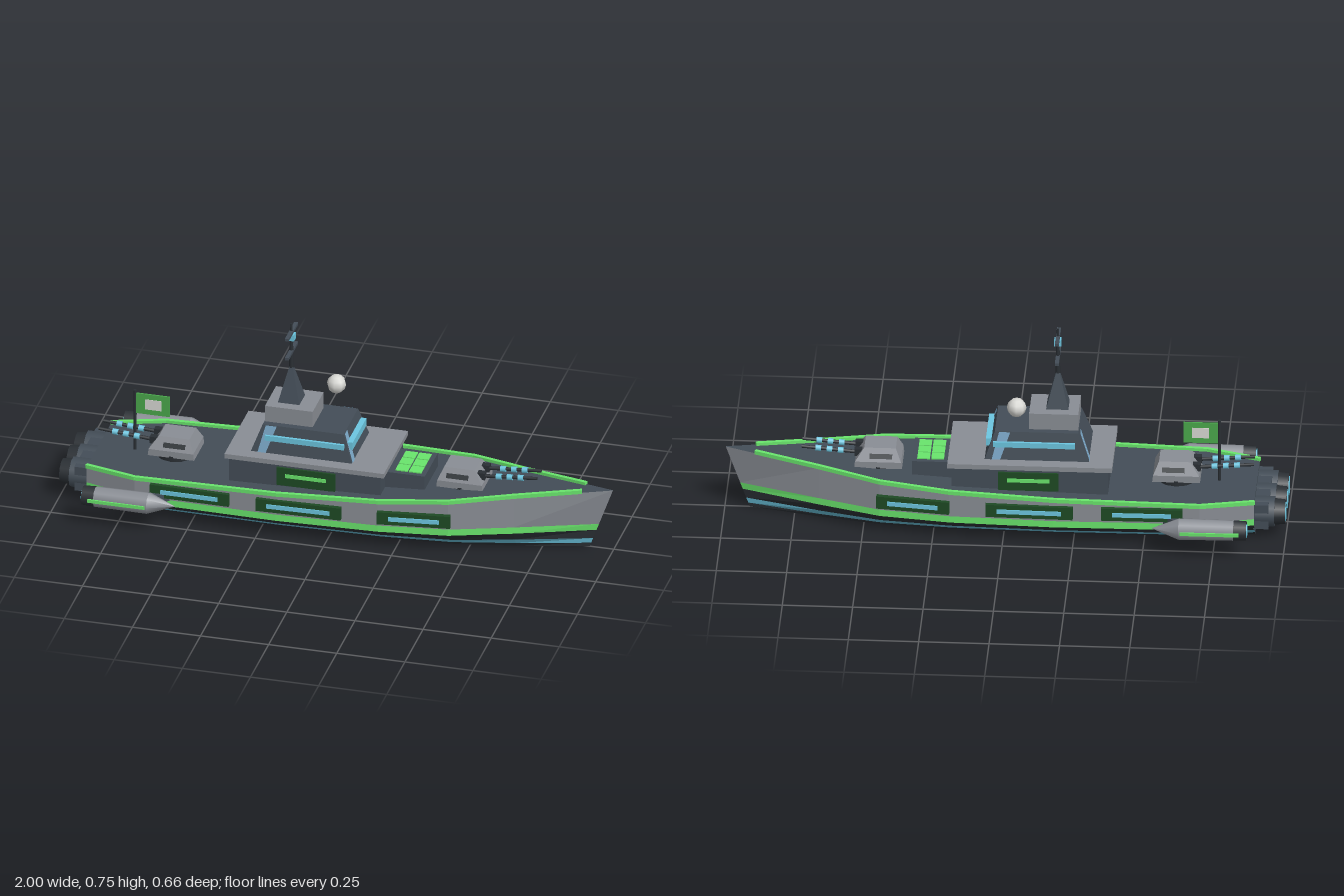
import * as THREE from 'three';

const mat = (name, color) => Object.assign(new THREE.MeshStandardMaterial({ color, side: THREE.DoubleSide }), { name });

export function createModel() {
  const root = new THREE.Group();
  root.name = 'patrolShip';
  const M = {
    grey: mat('hullGrey', 0x898d94),
    slate: mat('deckSlate', 0x434d57),
    dark: mat('darkSteel', 0x2a2f34),
    green: mat('flagGreen', 0x4aa84c),
    bright: mat('brightGreen', 0x69e46c),
    forest: mat('forestGreen', 0x1e4a24),
    teal: mat('glassTeal', 0x6cc6e0),
    water: mat('waterlineTeal', 0x62b4cc),
    pale: mat('paleBlue', 0x7aa6c6),
    white: mat('offWhite', 0xd8d8d4),
  };

  const add = (name, geo, m, x = 0, y = 0, z = 0, parent = root) => {
    const mesh = new THREE.Mesh(geo, m);
    mesh.name = name;
    mesh.position.set(x, y, z);
    parent.add(mesh);
    return mesh;
  };
  // Box given by its limits, with an optional smaller top
  const block = (name, m, [x0, x1, hz], [y0, y1], [t0, t1, tz] = [x0, x1, hz], parent = root) => {
    const g = new THREE.BoxGeometry(1, 1, 1), p = g.attributes.position;
    for (let i = 0; i < p.count; i++) {
      const up = p.getY(i) > 0, right = p.getX(i) > 0;
      p.setXYZ(i, up ? (right ? t1 : t0) : (right ? x1 : x0), up ? y1 : y0, Math.sign(p.getZ(i)) * (up ? tz : hz));
    }
    g.computeVertexNormals();
    return add(name, g, m, 0, 0, 0, parent);
  };
  const box = (name, m, sx, sy, sz, x, y, z, parent) => add(name, new THREE.BoxGeometry(sx, sy, sz), m, x, y, z, parent);
  // Cylinder along x; rF is the radius at the +x end
  const rodX = (name, m, x0, x1, rB, rF, y, z, seg = 8, parent = root) => {
    const g = new THREE.CylinderGeometry(rF, rB, x1 - x0, seg).rotateZ(-Math.PI / 2);
    return add(name, g, m, (x0 + x1) / 2, y, z, parent);
  };
  const quads = (name, m, list) => {
    const pos = [];
    for (const [a, b, c, d] of list) pos.push(...a, ...b, ...c, ...a, ...c, ...d);
    const g = new THREE.BufferGeometry();
    g.setAttribute('position', new THREE.Float32BufferAttribute(pos, 3));
    g.computeVertexNormals();
    return add(name, g, m);
  };

  // Hull stations: x, half beam, deck height; the hull is an open shell below
  const S = [[-0.89, 0.17, 0.155], [-0.7, 0.222, 0.16], [-0.18, 0.23, 0.172], [0.19, 0.215, 0.185],
    [0.44, 0.18, 0.2], [0.66, 0.105, 0.215], [0.997, 0.001, 0.237]];
  const last = S.length - 1;
  const levels = [0, 0.015, 0.035, 0.07, 0.095, null];
  const pt = (i, l, s) => {
    const [x, w, top] = S[i], y = levels[l] ?? top;
    const rake = i === last ? (y - top) * 0.36 : 0;
    return [x + rake, y, s * w * (0.6 + 0.4 * Math.min(1, y / 0.07))];
  };
  [['keelBand', M.dark], ['waterlineStripe', M.water], ['lowerHull', M.dark], ['greenBelt', M.bright], ['hullSides', M.grey]]
    .forEach(([name, m], l) => {
      const list = [];
      for (let i = 0; i < last; i++) {
        const q = s => [pt(i, l, s), pt(i + 1, l, s), pt(i + 1, l + 1, s), pt(i, l + 1, s)];
        list.push(q(1), q(-1).reverse());
      }
      list.push([pt(last, l, 1), pt(last, l, -1), pt(last, l + 1, -1), pt(last, l + 1, 1)]);
      quads(name, m, list);
    });
  quads('deck', M.slate, S.slice(0, last).map((_, i) => [pt(i, 5, 1), pt(i + 1, 5, 1), pt(i + 1, 5, -1), pt(i, 5, -1)]));
  quads('transom', M.slate, [0, 1, 2, 3, 4].map(l => [pt(0, l, -1), pt(0, l, 1), pt(0, l + 1, 1), pt(0, l + 1, -1)]));

  // Deck edge rails
  for (const s of [1, -1]) for (let i = 0; i < last; i++) {
    const a = new THREE.Vector3(...pt(i, 5, s)), b = new THREE.Vector3(...pt(i + 1, 5, s));
    if (i === last - 1) b.lerpVectors(a, b, 0.68);
    for (const v of [a, b]) v.add(new THREE.Vector3(0, 0.004, -s * 0.004));
    const r = box('deckRail', M.bright, 0.014, 0.014, a.distanceTo(b) + 0.004, 0, 0, 0);
    r.position.lerpVectors(a, b, 0.5);
    r.lookAt(b);
  }

  // Window panels along the hull sides: x and z of both ends
  for (const s of [1, -1]) for (const [x0, z0, x1, z1] of [[-0.64, 0.228, -0.35, 0.231], [-0.25, 0.234, 0.06, 0.227], [0.19, 0.22, 0.45, 0.187]]) {
    const len = Math.hypot(x1 - x0, z1 - z0);
    const g = new THREE.Group();
    g.name = 'sidePanel';
    g.position.set((x0 + x1) / 2, 0.132, s * (z0 + z1) / 2);
    g.rotation.y = -s * Math.atan2(z1 - z0, x1 - x0);
    root.add(g);
    box('panelFrame', M.forest, len, 0.048, 0.02, 0, 0, 0, g);
    box('panelLight', M.teal, len - 0.08, 0.016, 0.008, 0, 0, s * 0.01, g);
  }

  // Stern engines
  block('engineHousing', M.slate, [-0.94, -0.885, 0.15], [0.045, 0.14]);
  for (const z of [-0.1, 0, 0.1]) {
    rodX('engine', M.slate, -0.96, -0.885, 0.055, 0.055, 0.092, z, 10);
    rodX('engineNozzle', M.dark, -0.998, -0.96, 0.044, 0.048, 0.092, z, 10);
    rodX('engineGlow', M.teal, -1, -0.997, 0.035, 0.035, 0.092, z, 10);
  }

  // Side pods
  for (const s of [1, -1]) {
    const z = s * 0.289, y = 0.109;
    rodX('podNozzle', M.dark, -0.87, -0.82, 0.036, 0.038, y, z);
    rodX('podGlow', M.teal, -0.873, -0.869, 0.026, 0.026, y, z);
    rodX('podBody', M.grey, -0.825, -0.63, 0.038, 0.04, y, z);
    rodX('podNose', M.grey, -0.63, -0.535, 0.04, 0.001, y, z);
    box('podLight', M.bright, 0.21, 0.012, 0.008, -0.74, y, s * 0.327);
    box('podStrut', M.slate, 0.11, 0.03, 0.035, -0.625, y, s * 0.243).rotation.y = s * 0.6;
  }

  // Superstructure
  block('deckhouse', M.slate, [-0.37, 0.185, 0.155], [0.168, 0.262]);
  block('deckhouseRoof', M.grey, [-0.385, 0.2, 0.166], [0.26, 0.278]);
  block('bridge', M.slate, [-0.3, 0.07, 0.12], [0.278, 0.38], [-0.262, 0.035, 0.1]);
  block('upperBridge', M.grey, [-0.26, -0.085, 0.076], [0.38, 0.442]);
  for (const s of [1, -1]) {
    box('deckhousePanel', M.forest, 0.215, 0.07, 0.016, -0.088, 0.213, s * 0.154);
    box('deckhouseLight', M.bright, 0.15, 0.014, 0.006, -0.088, 0.218, s * 0.162);
    box('bridgeSideWindow', M.teal, 0.29, 0.02, 0.014, -0.105, 0.335, s * 0.11);
  }
  box('bridgeFrontWindow', M.teal, 0.02, 0.029, 0.19, 0.057, 0.334, 0);

  // Pale plates near one corner of each bridge face
  for (const s of [1, -1]) {
    const e = 0.003, cx = -0.115;
    const side = [[-0.275, 0.279, 0.12 + e], [-0.245, 0.279, 0.12 + e], [-0.21, 0.379, 0.1 + e], [-0.25, 0.379, 0.1 + e]];
    const end = [[0.07 + e, 0.279, 0.117], [0.07 + e, 0.279, 0.087], [0.035 + e, 0.379, 0.06], [0.035 + e, 0.379, 0.092]];
    const turn = q => q.map(([x, y, z]) => s > 0 ? [x, y, z] : [2 * cx - x, y, -z]);
    quads('bridgePlate', M.pale, [turn(side), turn(end)]);
  }

  // Mast with yards and lamp
  const mx = -0.183;
  block('mastBase', M.slate, [mx - 0.04, mx + 0.04, 0.04], [0.44, 0.575], [mx - 0.006, mx + 0.006, 0.006]);
  add('mastPole', new THREE.CylinderGeometry(0.004, 0.009, 0.175, 8), M.dark, mx, 0.6575, 0);
  for (const y of [0.635, 0.712]) box('mastYard', M.slate, 0.014, 0.01, 0.13, mx, y, 0);
  box('mastLamp', M.teal, 0.025, 0.025, 0.025, mx, 0.693, 0);
  add('radarDome', new THREE.SphereGeometry(0.035, 8, 6), M.white, -0.042, 0.474, -0.092);

  // Launch cells ahead of the deckhouse
  block('cellBox', M.slate, [0.18, 0.33, 0.09], [0.185, 0.246]);
  for (const x of [0.24, 0.29]) for (const z of [-0.05, 0, 0.05])
    box('launchCell', M.bright, 0.045, 0.006, 0.045, x, 0.247, z);

  // Twin gun turrets with slightly raised barrels
  const turret = (name, x, y, dir) => {
    const g = new THREE.Group();
    g.name = name;
    g.position.set(x, y, 0);
    g.rotation.y = dir > 0 ? 0 : Math.PI;
    root.add(g);
    add('turretRing', new THREE.CylinderGeometry(0.072, 0.072, 0.02, 12), M.dark, 0, 0.005, 0, g);
    block('turretBody', M.grey, [-0.085, 0.085, 0.07], [0.01, 0.035], [-0.082, 0.082, 0.07], g);
    block('turretTop', M.grey, [-0.082, 0.082, 0.07], [0.035, 0.08], [-0.062, 0.05, 0.046], g);
    for (const s of [1, -1]) {
      box('turretSlot', M.dark, 0.08, 0.018, 0.008, -0.01, 0.053, s * 0.06, g).rotation.x = -s * 0.49;
      box('gunMount', M.dark, 0.035, 0.026, 0.024, 0.068, 0.056, s * 0.03, g);
      const gun = new THREE.Group();
      gun.name = 'gun';
      gun.position.set(0.06, 0.053, s * 0.03);
      gun.rotation.z = 0.08;
      g.add(gun);
      rodX('gunBarrel', M.dark, 0, 0.215, 0.007, 0.006, 0, 0, 8, gun);
      for (const bx of [0.075, 0.115, 0.155]) rodX('barrelRing', M.teal, bx - 0.01, bx + 0.01, 0.011, 0.011, 0, 0, 8, gun);
    }
  };
  turret('foreTurret', 0.452, 0.192, 1);
  turret('aftTurret', -0.607, 0.17, -1);

  // Ensign at the stern
  add('flagPole', new THREE.CylinderGeometry(0.006, 0.006, 0.24, 8), M.dark, -0.757, 0.277, 0);
  box('flag', M.green, 0.125, 0.08, 0.006, -0.692, 0.346, 0);
  box('flagSquare', M.white, 0.06, 0.04, 0.009, -0.69, 0.346, 0);

  return root;
}
